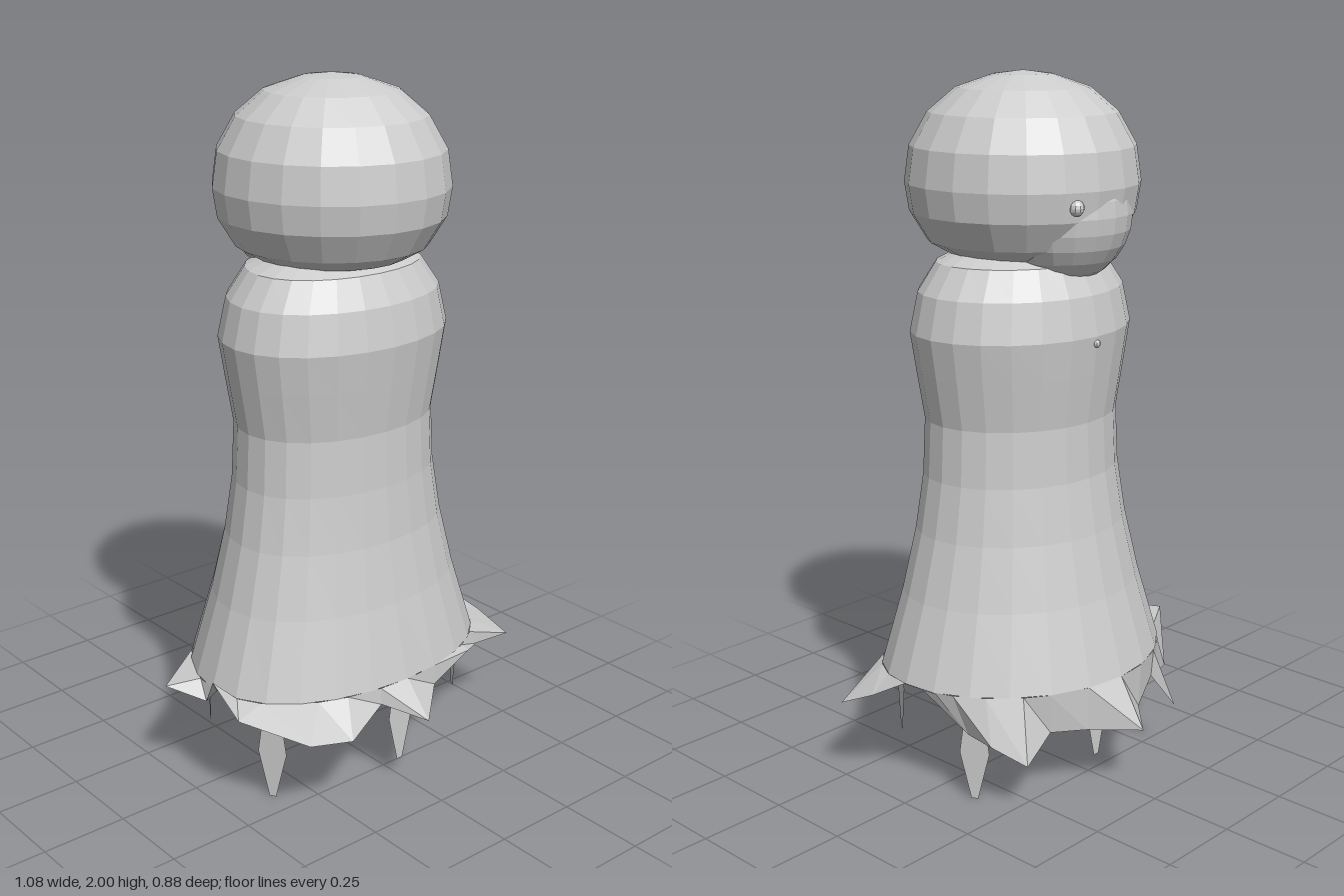
import * as THREE from 'three';

export function createModel() {
  const model = new THREE.Group();
  const cloth = new THREE.MeshStandardMaterial({ color: 0xcccccc, flatShading: true, side: THREE.DoubleSide });
  cloth.name = 'pale grey';

  function add(name, geometry, x = 0, y = 0, z = 0) {
    const mesh = new THREE.Mesh(geometry, cloth);
    mesh.name = name;
    mesh.position.set(x, y, z);
    model.add(mesh);
    return mesh;
  }
  const lathe = (profile, sides) =>
    new THREE.LatheGeometry(profile.map(([r, y]) => new THREE.Vector2(r, y)), sides);

  // Head: round on top, cut flat at the neck, slightly longer on one diagonal
  const head = add('head', lathe([
    [0, 1.5], [0.2, 1.505], [0.26, 1.54], [0.307, 1.62], [0.319, 1.7], [0.305, 1.8],
    [0.255, 1.89], [0.18, 1.955], [0.08, 1.99], [0, 2]
  ], 20), -0.01, 0, 0.02);
  head.scale.set(0.975, 1, 1.03);
  head.rotation.y = Math.PI / 4;

  // Swelling and small knob at the back of the head, button below
  add('headBump', new THREE.SphereGeometry(0.2, 20, 14), -0.03, 1.625, -0.1);
  add('knob', new THREE.SphereGeometry(0.022, 10, 8), 0.09, 1.66, -0.265);
  add('button', new THREE.SphereGeometry(0.011, 8, 6), -0.01, 1.28, -0.255);

  // Robe section: an oval, fuller at the front, leaning back towards the hem
  const hemR = 0.455, hemY = 0.33, centreX = -0.01;
  function robeZ(r, angle, y) {
    const drop = Math.max(0, (0.9 - y) / 0.58);
    return 0.015 + 0.785 * r * Math.cos(angle) + (0.02 + 0.03 * drop) * Math.sin(angle) ** 2 - 0.02 * drop;
  }
  const robe = lathe([
    [hemR, hemY], [0.385, 0.55], [0.34, 0.73], [0.314, 0.89], [0.306, 1.05], [0.33, 1.19],
    [0.348, 1.3], [0.322, 1.41], [0.265, 1.49], [0.18, 1.525], [0, 1.53]
  ], 24);
  const p = robe.attributes.position;
  for (let i = 0; i < p.count; i++) {
    const x = p.getX(i), z = p.getZ(i);
    p.setZ(i, robeZ(Math.hypot(x, z), Math.atan2(x, z), p.getY(i)));
  }
  add('robe', robe, centreX);

  // Torn hem: tips in order around the robe, joined to its lower edge
  const tips = [
    [0, 0.23, 0.44], [0.11, 0.27, 0.345], [0.28, 0.31, 0.31], [0.37, 0.28, 0.25],
    [0.535, 0.25, 0.22], [0.515, 0.3, 0.11], [0.47, 0.35, 0.02], [0.43, 0.33, -0.06],
    [0.375, 0.21, -0.13], [0.375, 0.2, -0.22], [0.32, 0.15, -0.305], [0.21, 0.21, -0.29],
    [0.11, 0.2, -0.34], [-0.01, 0.19, -0.445], [-0.11, 0.2, -0.345], [-0.21, 0.25, -0.31],
    [-0.25, 0.16, -0.37], [-0.28, 0.22, -0.27], [-0.39, 0.2, -0.22], [-0.54, 0.31, -0.08],
    [-0.47, 0.28, 0.02], [-0.51, 0.39, 0.11], [-0.49, 0.3, 0.2], [-0.39, 0.27, 0.39],
    [-0.26, 0.25, 0.415], [-0.1, 0.28, 0.35]
  ];
  const verts = [], index = [];
  tips.forEach(([x, y, z], i) => {
    const a = Math.atan2(x - centreX, z / 0.785);
    verts.push(centreX + Math.sin(a) * hemR, hemY, robeZ(hemR, a, hemY), x, y, z);
    const j = (i + 1) % tips.length;
    index.push(2 * i, 2 * i + 1, 2 * j + 1, 2 * i, 2 * j + 1, 2 * j);
  });
  const hem = new THREE.BufferGeometry();
  hem.setAttribute('position', new THREE.Float32BufferAttribute(verts, 3));
  hem.setIndex(index);
  hem.computeVertexNormals();
  add('tornHem', hem);

  // Six flat hanging shreds of three lengths, each facing outwards
  const outline = [[-0.01, 0], [0.01, 0], [0.043, 0.14], [0.022, 0.3], [-0.022, 0.3], [-0.043, 0.14]];
  const shred = new THREE.ShapeGeometry(new THREE.Shape(outline.map(([x, y]) => new THREE.Vector2(x, y))));
  const tipHeights = [0.06, 0.12, 0];
  for (let i = 0; i < 6; i++) {
    const a = i * Math.PI / 3;
    add('hangingShred', shred, -0.005 + 0.405 * Math.sin(a), tipHeights[i % 3], 0.025 + 0.3 * Math.cos(a)).rotation.y = a;
  }
  return model;
}
